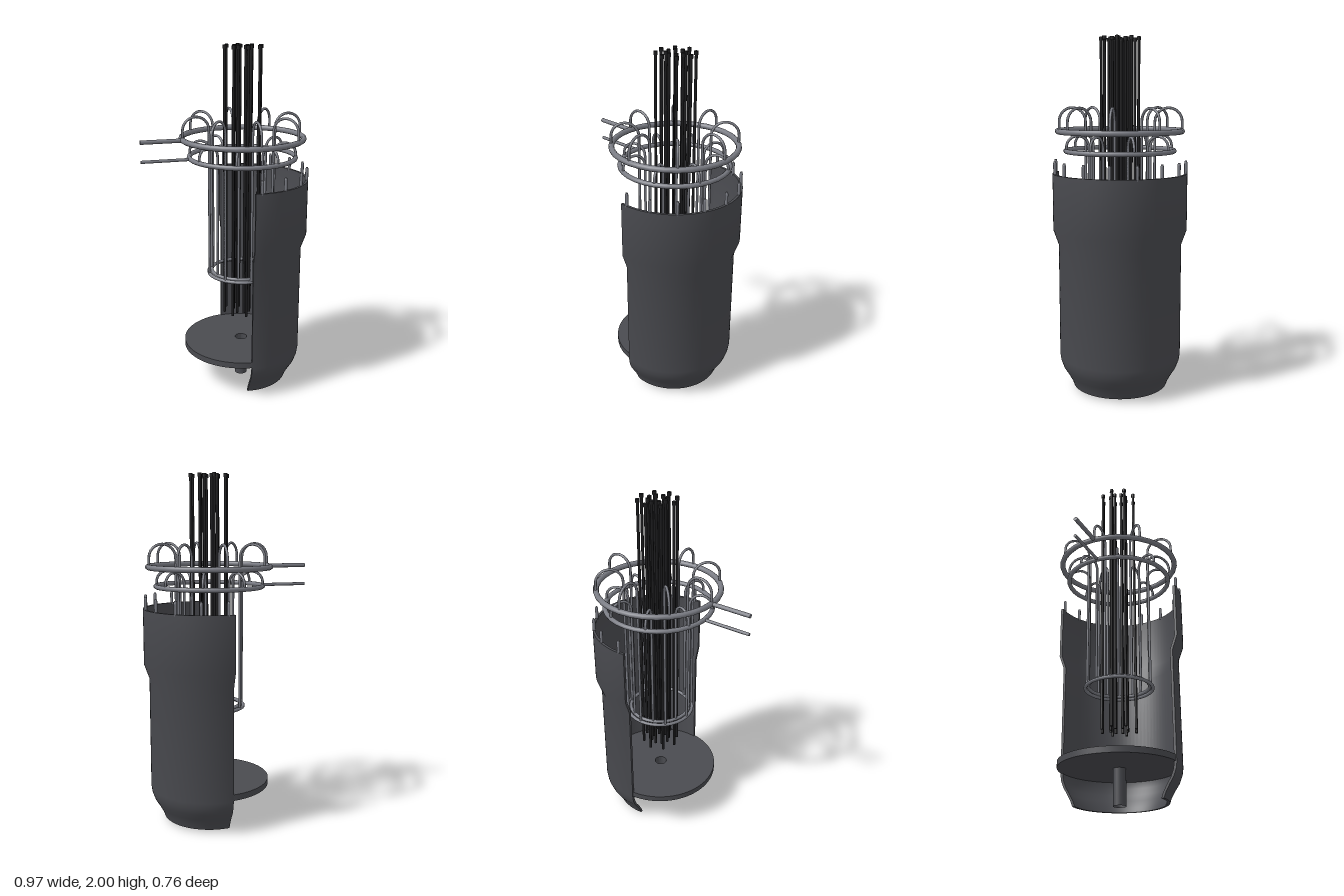
import * as THREE from 'three';
import { toCreasedNormals } from 'three/addons/utils/BufferGeometryUtils.js';

const shellMat = new THREE.MeshStandardMaterial({ color: 0x4a4b50, side: THREE.DoubleSide });
const pipeMat = new THREE.MeshStandardMaterial({ color: 0x7a7c84 });
const rodMat = new THREE.MeshStandardMaterial({ color: 0x1c1c1e });
const V = (x, y, z = 0) => new THREE.Vector3(x, y, z);

function add(parent, name, geo, mat, x = 0, y = 0, z = 0) {
  const m = new THREE.Mesh(geo, mat);
  m.name = name;
  m.position.set(x, y, z);
  parent.add(m);
  return m;
}

function cyl(parent, name, r, y0, y1, mat, x = 0, z = 0, sides = 12) {
  return add(parent, name, new THREE.CylinderGeometry(r, r, y1 - y0, sides), mat, x, (y0 + y1) / 2, z);
}

// Half vessel: a closed wall profile swept about the axis and cut by a plane just behind it
function vesselGeometry() {
  const outer = [[0.272, 0.015], [0.283, 0.045], [0.305, 0.085], [0.33, 0.125], [0.345, 0.165],
    [0.35, 0.2], [0.35, 0.845], [0.38, 0.93], [0.38, 1.25]];
  const t = 0.015;
  const inner = outer.map(([r, y]) => [r - t, y]).reverse();
  const loop = [...outer, ...inner, outer[0]];
  const n = 48, cut = 0.037, w = loop.length, pos = [], idx = [];
  for (let i = 0; i <= n; i++) {
    for (const [r, y] of loop) {
      const a = (2 * i / n - 1) * (Math.PI / 2 + Math.asin(cut / r));
      pos.push(r * Math.cos(a), y, r * Math.sin(a));
    }
  }
  for (let i = 0; i < n; i++) {
    for (let j = 0; j < w - 1; j++) {
      const a = i * w + j, b = a + w;
      idx.push(a, a + 1, b, b, a + 1, b + 1);
    }
  }
  // Flat cut faces at both ends of the sweep
  const k = outer.length, e = n * w;
  for (let j = 0; j < k - 1; j++) {
    const p = j, q = j + 1, s = 2 * k - 2 - j, u = 2 * k - 1 - j;
    idx.push(p, u, q, q, u, s, e + p, e + q, e + u, e + q, e + s, e + u);
  }
  const g = new THREE.BufferGeometry();
  g.setAttribute('position', new THREE.Float32BufferAttribute(pos, 3));
  g.setIndex(idx);
  return toCreasedNormals(g, 0.5);
}

// Vertical inverted-U tube from the lower ring up and over to its header ring
function hairpinGeometry(rIn, rOut, yLow, yArc, yEnd) {
  const R = (rOut - rIn) / 2, mid = (rOut + rIn) / 2;
  const path = new THREE.CurvePath();
  path.add(new THREE.LineCurve3(V(rIn, yLow), V(rIn, yArc)));
  let prev = V(rIn, yArc);
  for (let i = 1; i <= 12; i++) {
    const a = Math.PI * (1 - i / 12);
    const p = V(mid + R * Math.cos(a), yArc + R * Math.sin(a));
    path.add(new THREE.LineCurve3(prev, p));
    prev = p;
  }
  path.add(new THREE.LineCurve3(prev, V(rOut, yEnd)));
  return new THREE.TubeGeometry(path, 120, 0.0075, 8, false);
}

function ring(parent, name, r, tube, y) {
  add(parent, name, new THREE.TorusGeometry(r, tube, 10, 32), pipeMat, 0, y).rotation.x = Math.PI / 2;
}

export function createModel() {
  const model = new THREE.Group();
  model.name = 'vesselAssembly';
  const core = new THREE.Group();
  core.name = 'core';
  core.position.x = 0.102;
  model.add(core);

  // Vessel wall with studs along its rim
  add(core, 'vesselShell', vesselGeometry(), shellMat);
  for (let i = 0; i < 9; i++) {
    const a = -Math.PI / 2 + i * Math.PI / 8;
    const x = 0.371 * Math.cos(a), z = 0.371 * Math.sin(a);
    cyl(core, 'rimStud', 0.009, 1.24, 1.31, pipeMat, x, z, 10);
    add(core, 'rimStudTip', new THREE.CylinderGeometry(0.006, 0.009, 0.012, 10), pipeMat, x, 1.316, z);
  }

  // Base plate with a centre hole and a hollow drain tube
  const disc = new THREE.Shape().absarc(0, 0, 0.345, 0, Math.PI * 2);
  disc.holes.push(new THREE.Path().absarc(0, 0, 0.036, 0, Math.PI * 2, true));
  const plate = new THREE.ExtrudeGeometry(disc, { depth: 0.035, bevelEnabled: false, curveSegments: 48 });
  add(core, 'basePlate', toCreasedNormals(plate, 0.5), shellMat, 0, 0.24).rotation.x = Math.PI / 2;
  add(core, 'drainTube', new THREE.CylinderGeometry(0.037, 0.037, 0.22, 24, 1, true), shellMat, 0, 0.11);

  // Two tube coils: header ring, feed pipe, lower ring and eight hairpins each
  const coils = [
    { name: 'outer', rIn: 0.196, rOut: 0.348, low: 0.675, arc: 1.538, head: 1.485, tube: 0.016, pipe: 0.012, turn: 0 },
    { name: 'inner', rIn: 0.178, rOut: 0.305, low: 0.687, arc: 1.397, head: 1.375, tube: 0.0135, pipe: 0.009, turn: Math.PI / 8 },
  ];
  for (const c of coils) {
    const coil = new THREE.Group();
    coil.name = c.name + 'Coil';
    core.add(coil);
    ring(coil, 'headerRing', c.rOut, c.tube, c.head);
    ring(coil, 'lowerRing', c.rIn, 0.01, c.low);
    const len = 0.587 - c.rOut;
    add(coil, 'feedPipe', new THREE.CylinderGeometry(c.pipe, c.pipe, len, 12), pipeMat,
      -c.rOut - len / 2, c.head).rotation.z = Math.PI / 2;
    const hairpin = hairpinGeometry(c.rIn, c.rOut, c.low, c.arc, c.head);
    for (let i = 0; i < 8; i++) {
      add(coil, 'hairpinTube', hairpin, pipeMat).rotation.y = c.turn + i * Math.PI / 4;
    }
  }

  // Two circles of long rods with small end caps
  for (const r of [0.052, 0.105]) {
    for (let i = 0; i < 8; i++) {
      const a = i * Math.PI / 4, x = r * Math.cos(a), z = r * Math.sin(a);
      cyl(core, 'rod', 0.008, 0.42, 1.99, rodMat, x, z);
      cyl(core, 'rodCap', 0.0115, 1.98, 2, rodMat, x, z);
    }
  }
  return model;
}
